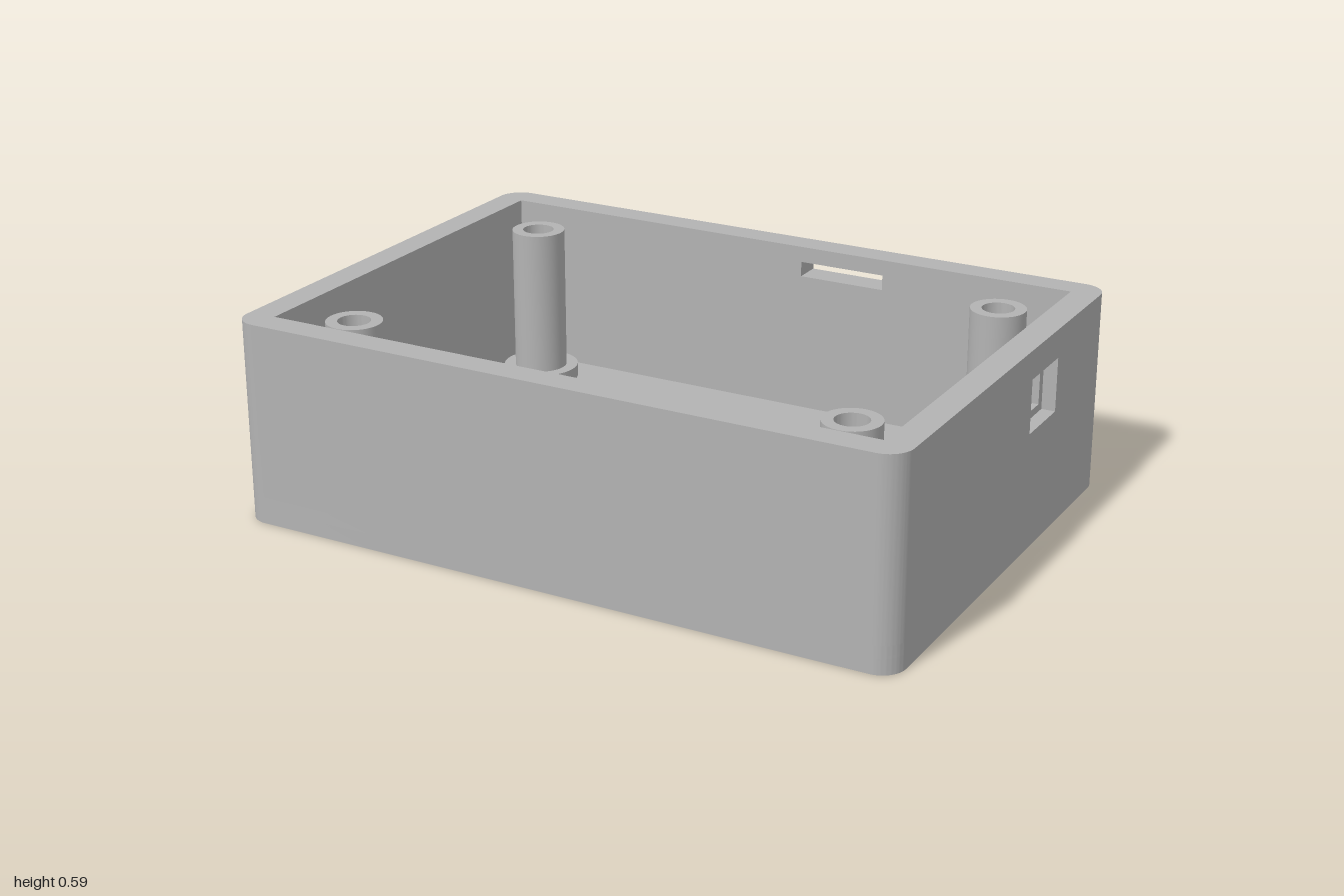
import * as THREE from 'three';
import { toCreasedNormals } from 'three/addons/utils/BufferGeometryUtils.js';

const W = 1, D = 0.713, H = 0.59;          // half width, half depth, height
const WALL = 0.083, R = 0.07;              // wall thickness, corner radius
const FLOOR = 0.08, RECESS = 0.045;        // floor thickness, display recess depth
const IX = W - WALL, IZ = D - WALL;        // inner half sizes
const POST_X = 0.76, POST_Z = 0.48;

const poly = (Type, pts) => new Type(pts.map(([x, y]) => new THREE.Vector2(x, y)));
const rectPts = (x0, x1, y0, y1) => [[x0, y0], [x1, y0], [x1, y1], [x0, y1]];
const rectHole = (...r) => poly(THREE.Path, rectPts(...r));
// Plan rectangle given in x and z; plan shapes use y = -z.
const planHole = (x0, x1, z0, z1) => rectHole(x0, x1, -z1, -z0);

function extrude(shape, depth) {
  const g = new THREE.ExtrudeGeometry(shape, { depth, bevelEnabled: false, curveSegments: 12 });
  return toCreasedNormals(g, 0.6);
}

// Extrude a plan shape upwards from y0 to y1.
function slab(shape, y0, y1) {
  return extrude(shape, y1 - y0).rotateX(-Math.PI / 2).translate(0, y0, 0);
}

function floorShape(opening) {
  const s = new THREE.Shape();
  s.moveTo(-W + R, -D);
  s.lineTo(W - R, -D);
  s.absarc(W - R, -D + R, R, -Math.PI / 2, 0, false);
  s.absarc(W - R, D - R, R, 0, Math.PI / 2, false);
  s.absarc(-W + R, D - R, R, Math.PI / 2, Math.PI, false);
  s.absarc(-W + R, -D + R, R, Math.PI, Math.PI * 1.5, false);
  s.holes.push(opening);
  // Ventilation slots
  for (let i = 0; i < 5; i++) {
    const z = -0.452 + i * 0.084;
    s.holes.push(planHole(-0.552, 0.55, z - 0.0215, z + 0.0215));
  }
  // Screw head counterbores
  for (const x of [-POST_X, POST_X]) for (const z of [-POST_Z, POST_Z]) {
    s.holes.push(new THREE.Path().absarc(x, z, 0.08, 0, Math.PI * 2, false));
  }
  return s;
}

export function createModel() {
  const model = new THREE.Group();
  model.name = 'enclosure';
  const grey = new THREE.MeshStandardMaterial({ color: 0xb3b3b3 });
  grey.name = 'grey plastic';
  const add = (name, geometry) => {
    const mesh = new THREE.Mesh(geometry, grey);
    mesh.name = name;
    model.add(mesh);
    return mesh;
  };

  // Floor: lower layer has the display recess with a side tab, upper layer the window
  const recess = poly(THREE.Path, [
    [0.675, 0.015], [0.675, 0.592], [-0.675, 0.592], [-0.675, 0.39],
    [-0.745, 0.39], [-0.745, 0.18], [-0.675, 0.18], [-0.675, 0.015],
  ].map(([x, z]) => [x, -z]));
  add('floorLower', slab(floorShape(recess), 0, RECESS));
  add('floorUpper', slab(floorShape(planHole(-0.612, 0.61, 0.062, 0.524)), RECESS, FLOOR));

  // Front and back walls; the back has a narrow slot
  const longWall = () => poly(THREE.Shape, rectPts(-IX, IX, FLOOR, H));
  add('frontWall', extrude(longWall(), WALL).translate(0, 0, IZ));
  const back = longWall();
  back.holes.push(rectHole(0.07, 0.335, 0.498, 0.543));
  add('backWall', extrude(back, WALL).translate(0, 0, -D));

  // Side walls; one has a stepped connector port (shape x = -z)
  const sideWall = (name, x, depth, hole) => {
    const s = poly(THREE.Shape, rectPts(-IZ, IZ, FLOOR, H));
    if (hole) s.holes.push(hole);
    add(name, extrude(s, depth).rotateY(Math.PI / 2).translate(x, 0, 0));
  };
  const step = 0.04;
  sideWall('plainSideWall', -W, WALL);
  sideWall('portWallInner', IX, WALL - step, rectHole(0.162, 0.3, 0.37, 0.48));
  sideWall('portWallOuter', W - step, step, rectHole(0.135, 0.325, 0.348, 0.505));

  // Rounded corner columns
  for (let i = 0; i < 4; i++) {
    const c = new THREE.Shape();
    c.moveTo(0, 0);
    c.lineTo(WALL, 0);
    c.absarc(WALL - R, WALL - R, R, 0, Math.PI / 2, false);
    c.lineTo(0, WALL);
    const sx = i === 0 || i === 3 ? 1 : -1, sz = i < 2 ? -1 : 1;
    const g = slab(c, FLOOR, H).rotateY(i * Math.PI / 2);
    add('wallCorner', g.translate(sx * IX, 0, sz * IZ));
  }

  // Hollow screw posts with a wider foot
  const profile = [
    [0.047, FLOOR], [0.08, FLOOR], [0.115, FLOOR], [0.115, 0.12], [0.08, 0.12],
    [0.08, 0.56], [0.047, 0.56], [0.047, FLOOR],
  ].map(([x, y]) => new THREE.Vector2(x, y));
  const post = toCreasedNormals(new THREE.LatheGeometry(profile, 48), 0.6);
  for (const x of [-POST_X, POST_X]) for (const z of [-POST_Z, POST_Z]) {
    add('screwPost', post).position.set(x, 0, z);
  }
  return model;
}
